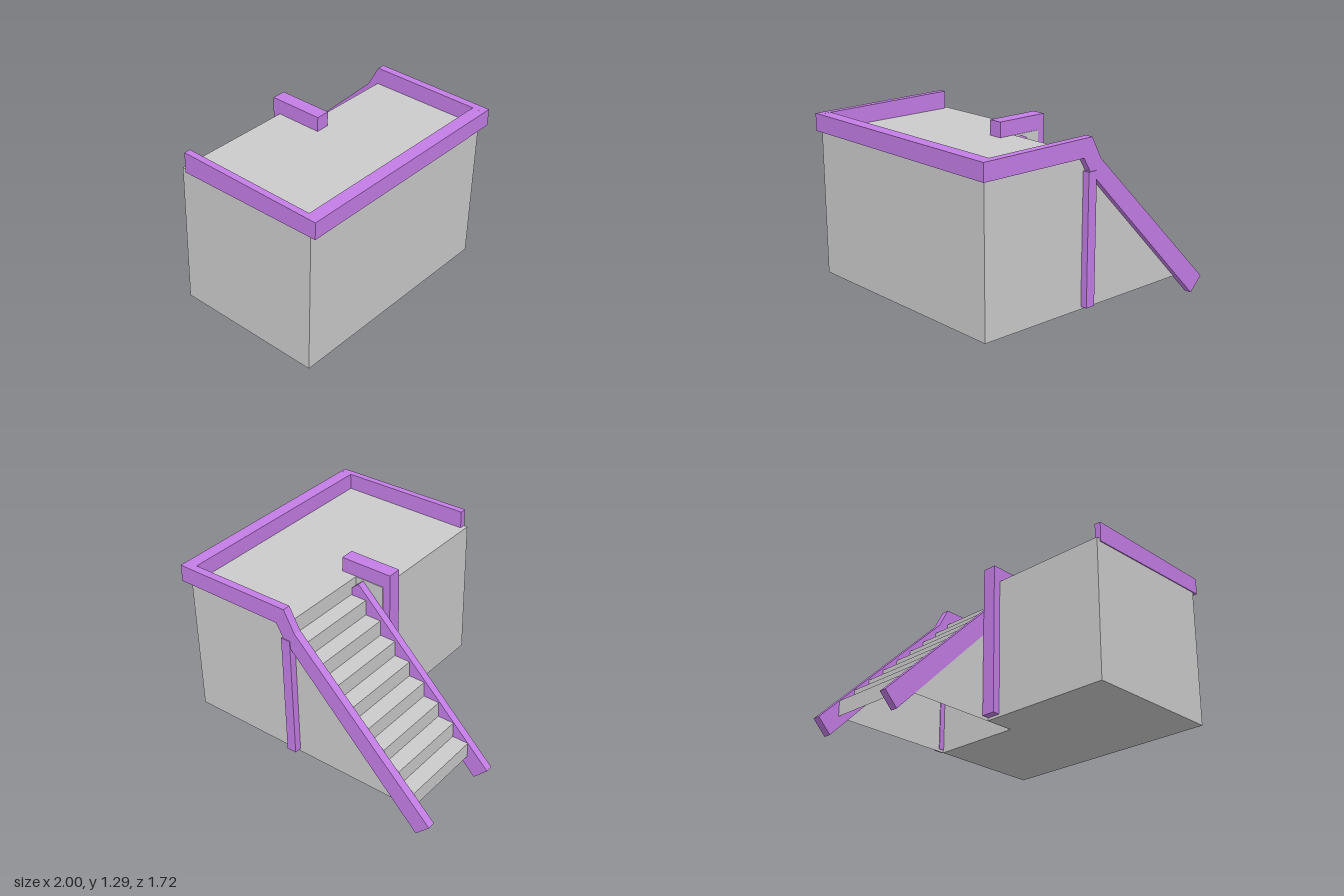
import * as THREE from 'three';

const grey = new THREE.MeshStandardMaterial({ color: 0xcccccc });
const greySheet = new THREE.MeshStandardMaterial({ color: 0xcccccc, side: THREE.DoubleSide });
const purple = new THREE.MeshStandardMaterial({ color: 0xc47de6 });

const FLOOR = 0.15, DECK = 1.17;             // bottom and top of the block
const BACK = -0.81, INNER = -0.14;           // z of the two stair sides
const FOOT = -0.84, HEAD = 0.12, STEPS = 8;  // x range of the stairs

const toShape = (points) => new THREE.Shape(points.map(([x, y]) => new THREE.Vector2(x, y)));

export function createModel() {
  const group = new THREE.Group();

  const add = (name, geometry, material) => {
    const mesh = new THREE.Mesh(geometry, material);
    mesh.name = name;
    group.add(mesh);
    return mesh;
  };
  // Box given by its limits on each axis
  const box = (name, [x0, x1], [y0, y1], [z0, z1]) =>
    add(name, new THREE.BoxGeometry(x1 - x0, y1 - y0, z1 - z0), purple)
      .position.set((x0 + x1) / 2, (y0 + y1) / 2, (z0 + z1) / 2);
  // Side outline in x and y, given thickness from z0 to z1
  const slab = (name, points, z0, z1) =>
    add(name, new THREE.ExtrudeGeometry(toShape(points), { depth: z1 - z0, bevelEnabled: false })
      .translate(0, 0, z0), purple);

  // Block with a notch for the stairs (plan in x and z)
  const plan = toShape([
    [0.96, BACK], [0.96, 0.85], [-0.1, 0.85], [-0.1, INNER], [HEAD, INNER], [HEAD, BACK],
  ]);
  add('block', new THREE.ExtrudeGeometry(plan, { depth: DECK - FLOOR, bevelEnabled: false })
    .rotateX(Math.PI / 2).translate(0, DECK, 0), grey);

  // Stairs: hollow underneath, thin treads and risers
  const run = (HEAD - FOOT) / STEPS;
  const rise = (DECK - FLOOR) / (STEPS + 1);
  const width = INNER - BACK, midZ = (INNER + BACK) / 2;
  const profile = [[FOOT, FLOOR]];
  for (let i = 0; i < STEPS; i++) {
    const x = FOOT + i * run, y = FLOOR + (i + 1) * rise;
    profile.push([x, y], [x + run, y]);
    add('riser', new THREE.PlaneGeometry(width, rise).rotateY(-Math.PI / 2)
      .translate(x, y - rise / 2, midZ), greySheet);
    add('tread', new THREE.PlaneGeometry(run, width).rotateX(-Math.PI / 2)
      .translate(x + run / 2, y, midZ), greySheet);
  }
  profile.push([HEAD, FLOOR]);

  // Stepped panels closing both sides of the stairs
  for (const [name, z] of [['outerStairPanel', BACK], ['innerStairPanel', INNER - 0.002]]) {
    add(name, new THREE.ShapeGeometry(toShape(profile)).translate(0, 0, z), greySheet);
  }

  // Back rail running down into the outer stair rail
  slab('backRailAndOuterStairRail', [
    [-1, 0.105], [-0.9, 0.003], [0.13, 1.065], [0.19, 1.165],
    [1, 1.165], [1, 1.285], [0.12, 1.29], [0.04, 1.14],
  ], -0.855, -0.8);

  // Inner stair rail
  slab('innerStairRail', [
    [-1, 0.105], [-0.9, 0.003], [0.115, 1.045], [0.115, 1.11], [0.06, 1.16],
  ], -0.19, -0.138);

  // Front rail, slightly deeper at its free end
  slab('frontRail', [[-0.07, 1.15], [1, 1.165], [1, 1.285], [-0.07, 1.295]], 0.81, 0.857);

  // Side rail
  box('sideRail', [0.91, 1], [1.165, 1.285], [-0.853, 0.855]);

  // Short rail beside the stair head, with its post
  box('shortRail', [-0.155, 0.235], [1.165, 1.275], [-0.135, -0.035]);
  box('shortRailPost', [-0.155, -0.095], [0.17, 1.165], [-0.135, -0.035]);

  // Post below the back rail
  box('backPost', [0.08, 0.15], [0.17, 1.07], [-0.86, -0.805]);

  return group;
}
